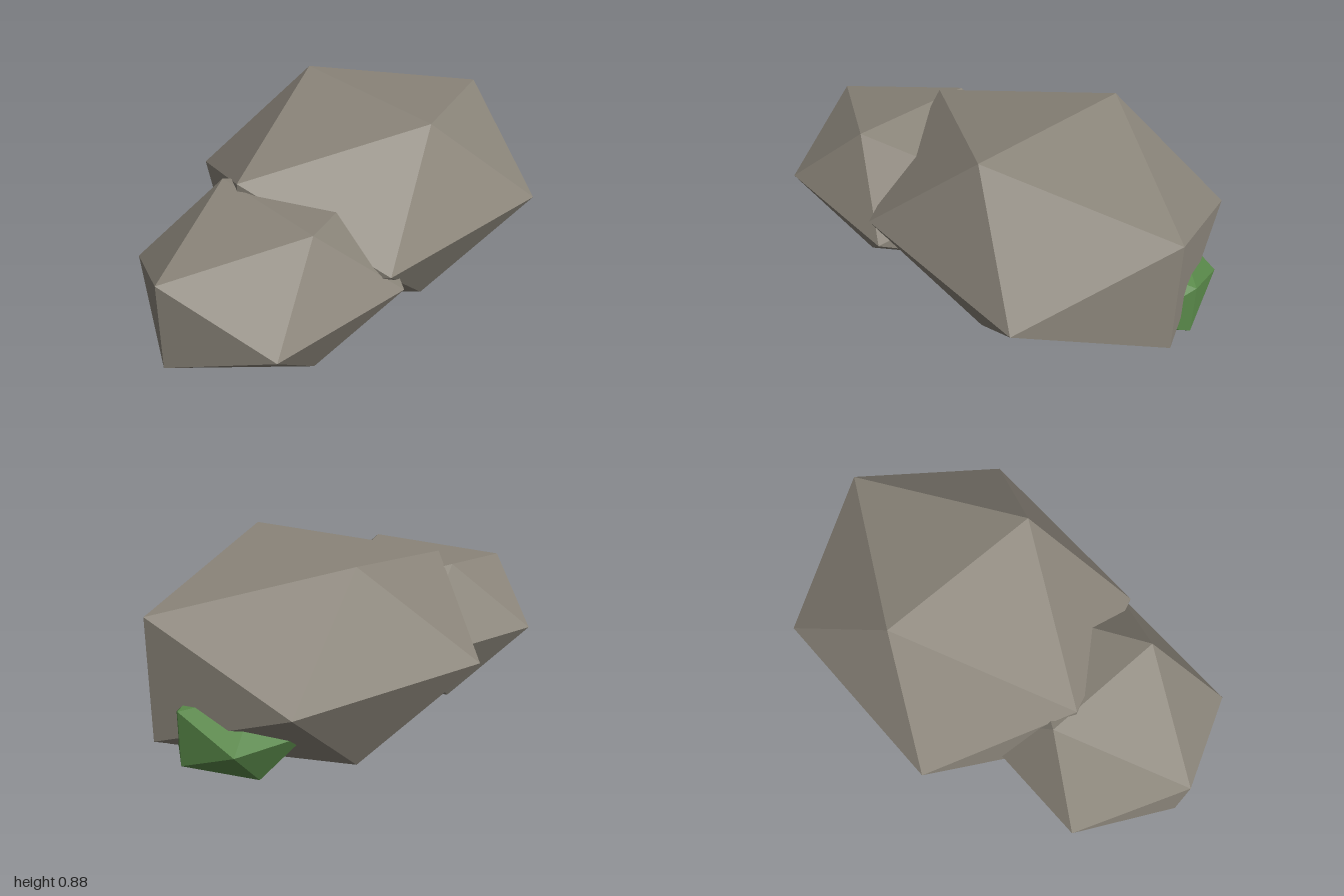
import * as THREE from 'three';

const stone = new THREE.MeshStandardMaterial({ color: 0x8c867b, flatShading: true });
stone.name = 'stone';
const moss = new THREE.MeshStandardMaterial({ color: 0x5a8a4a, flatShading: true });
moss.name = 'moss';

// Faceted lump: a stretched icosahedron; size is its half extent on each axis
function lump(name, material, size, position) {
  const geometry = new THREE.IcosahedronGeometry(1, 0);
  geometry.rotateY(Math.PI / 2);
  const reach = 0.85065; // largest vertex coordinate of the unit icosahedron
  geometry.scale(size[0] / reach, size[1] / reach, size[2] / reach);
  const mesh = new THREE.Mesh(geometry, material);
  mesh.name = name;
  mesh.position.set(...position);
  return mesh;
}

export function createModel() {
  const group = new THREE.Group();
  group.name = 'mossyRocks';
  group.add(
    lump('largeRock', stone, [0.735, 0.44, 0.623], [0.265, 0.445, -0.007]),
    lump('mediumRock', stone, [0.545, 0.33, 0.463], [-0.455, 0.356, 0.162]),
    // mostly buried beneath the large rock
    lump('smallRock', stone, [0.36, 0.222, 0.3], [0.57, 0.277, -0.003]),
    lump('mossPatch', moss, [0.262, 0.195, 0.26], [0.703, 0.25, -0.18]),
  );
  return group;
}
